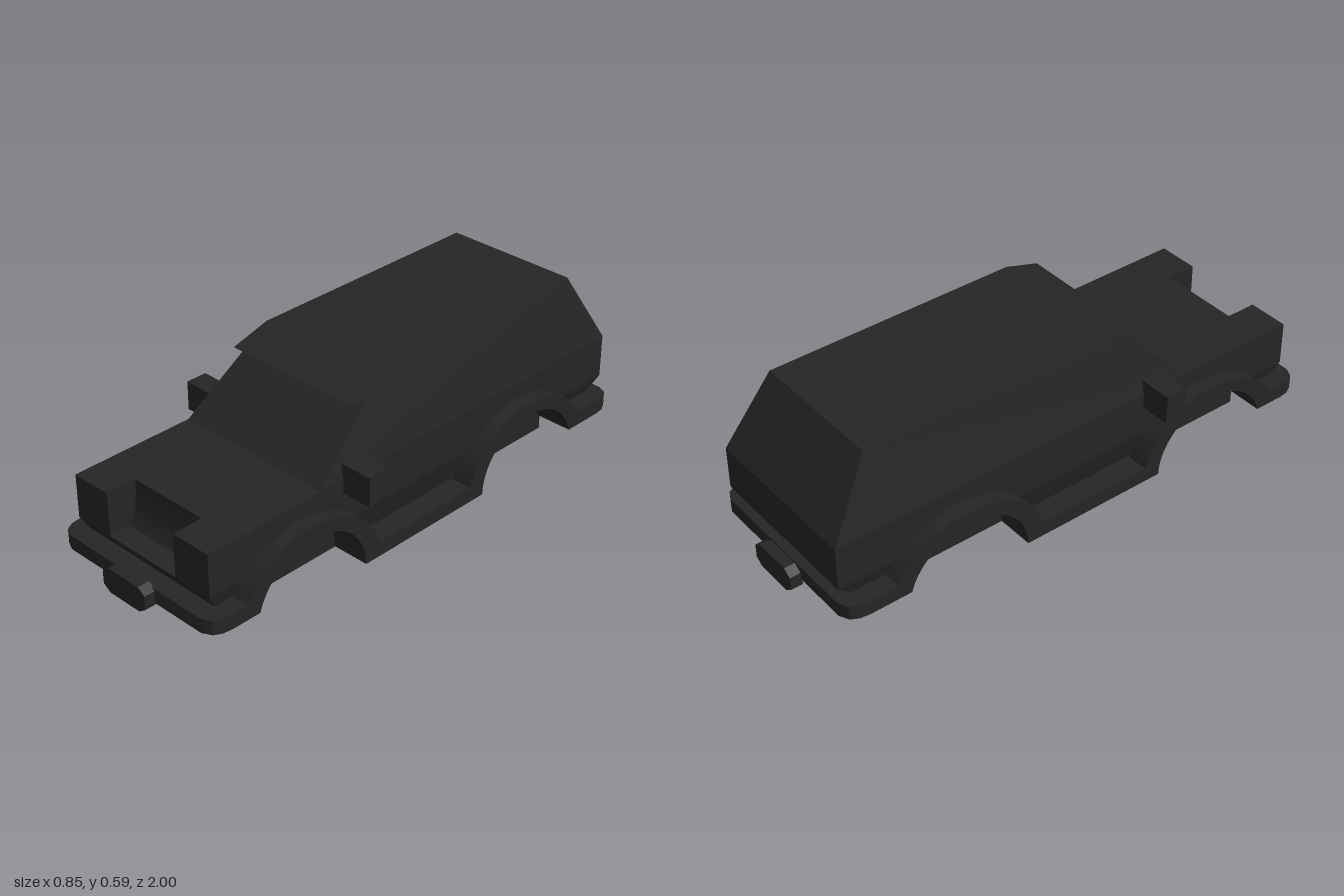
import * as THREE from 'three';
import { toCreasedNormals } from 'three/addons/utils/BufferGeometryUtils.js';

const FRONT = 0.54, REAR = -0.495;      // wheel arch centres along z
const INNER = [0.235, 0.215], OUTER = [0.305, 0.26];

export function createModel() {
  const car = new THREE.Group();
  car.name = 'carBody';
  const black = new THREE.MeshStandardMaterial({ color: 0x252525 });
  black.name = 'black';

  const add = (name, geo) => {
    const mesh = new THREE.Mesh(toCreasedNormals(geo, 0.5), black);
    mesh.name = name;
    car.add(mesh);
    return mesh;
  };

  // Arch points from height y0 to y1; side +1 is the front half, -1 the rear half
  const arc = (c, [rx, ry], y0, side0, y1, side1, n = 20) => {
    const angle = (y, s) => (s > 0 ? Math.asin(y / ry) : Math.PI - Math.asin(y / ry));
    const a = angle(y0, side0), b = angle(y1, side1);
    return Array.from({ length: n + 1 }, (_, i) => {
      const t = a + (b - a) * i / n;
      return [c + rx * Math.cos(t), ry * Math.sin(t)];
    });
  };

  const shape = pts => new THREE.Shape(pts.map(p => new THREE.Vector2(p[0], p[1])));

  // Side profile of [z, y] points, extruded across x
  const slab = (pts, x0, x1) => {
    const g = new THREE.ExtrudeGeometry(shape(pts), { depth: x1 - x0, bevelEnabled: false });
    return g.rotateY(-Math.PI / 2).translate(x1, 0, 0);
  };

  // Narrows a full width slab linearly with height
  const lean = (g, yA, xA, yB, xB) => {
    const p = g.attributes.position;
    for (let i = 0; i < p.count; i++) {
      const w = xA + (xB - xA) * (p.getY(i) - yA) / (yB - yA);
      p.setX(i, Math.sign(p.getX(i)) * w);
    }
    return g;
  };

  const box = (x0, x1, y0, y1, z0, z1) =>
    new THREE.BoxGeometry(x1 - x0, y1 - y0, z1 - z0)
      .translate((x0 + x1) / 2, (y0 + y1) / 2, (z0 + z1) / 2);

  // Cabin with sloped windscreen, visor lip and tailgate
  add('cabin', lean(slab([
    [0.45, 0.32], [0.20, 0.535], [0.28, 0.54], [0.14, 0.588], [-0.80, 0.588], [-0.955, 0.32],
  ], -0.31, 0.31), 0.32, 0.31, 0.588, 0.255));

  // Main body with wheel arch cutouts
  add('mainBody', slab([
    [0.805, 0.32], [0.805, 0.16],
    ...arc(FRONT, INNER, 0.16, 1, 0.16, -1),
    ...arc(REAR, INNER, 0.16, 1, 0.16, -1),
    [-0.955, 0.16], [-0.955, 0.32],
  ], -0.31, 0.31));

  // Tapered lower body in three pieces between the arches
  const lower = [
    [[0.92, 0.16], [0.89, 0.108], ...arc(FRONT, INNER, 0.108, 1, 0.16, 1, 4)],
    [...arc(FRONT, INNER, 0.16, -1, 0.05, -1, 4), ...arc(REAR, INNER, 0.05, 1, 0.16, 1, 4)],
    [...arc(REAR, INNER, 0.16, -1, 0.108, -1, 4), [-0.90, 0.108], [-0.955, 0.16]],
  ];
  ['lowerFront', 'lowerMiddle', 'lowerRear'].forEach((name, i) =>
    add(name, lean(slab(lower[i], -0.31, 0.31), 0.16, 0.31, 0.108, 0.295)));

  // Curved back wall of the nose recess
  add('noseRecess', slab([
    [0.80, 0.32], [0.806, 0.32], [0.808, 0.27], [0.814, 0.22], [0.824, 0.185], [0.84, 0.16], [0.80, 0.16],
  ], -0.155, 0.155));

  // Belly between the wheel wells
  add('belly', box(-0.225, 0.225, 0, 0.22, -0.73, 0.775));

  for (const s of [1, -1]) {
    const side = s > 0 ? 'left' : 'right';
    const span = (a, b) => (s > 0 ? [a, b] : [-b, -a]);

    // Headlamp block beside the recess
    add(side + 'HeadlampBlock', box(...span(0.155, 0.31), 0.16, 0.32, 0.80, 0.92));

    // Sill and flared wheel arches
    add(side + 'ArchTrim', slab([
      [0.88, 0.055], [0.88, 0.108],
      ...arc(FRONT, OUTER, 0.108, 1, 0.055, -1),
      ...arc(REAR, OUTER, 0.055, 1, 0.108, -1),
      [-0.88, 0.108], [-0.88, 0.055],
      ...arc(REAR, INNER, 0.055, -1, 0, 1),
      ...arc(FRONT, INNER, 0, -1, 0.055, 1),
    ], ...span(0.225, 0.365)));

    add(side + 'Mirror', box(...span(0.29, 0.424), 0.268, 0.375, 0.272, 0.352));
  }

  // Bumpers with rounded corners, and the plate holders on them
  const half = [[0.365, 0.88], [0.36, 0.915], [0.345, 0.943], [0.31, 0.96]];
  const bumper = [...half, ...half.map(([x, z]) => [-x, z]).reverse()];
  const plate = [[-0.1, 0.025], [-0.07, 0.046], [0.07, 0.046], [0.1, 0.025]];
  const octagon = [...plate, ...plate.map(([x, y]) => [-x, -y])].reverse();
  for (const s of [1, -1]) {
    const end = s > 0 ? 'front' : 'rear';
    const turn = g => (s > 0 ? g : g.rotateY(Math.PI));
    const bar = new THREE.ExtrudeGeometry(shape(bumper), { depth: 0.053, bevelEnabled: false });
    add(end + 'Bumper', turn(bar.rotateX(Math.PI / 2).translate(0, 0.108, 0)));
    add(end + 'BumperFloor', turn(box(-0.225, 0.225, 0.055, 0.108, 0.72, 0.885)));
    const holder = new THREE.ExtrudeGeometry(shape(octagon), { depth: 0.045, bevelEnabled: false });
    add(end + 'PlateHolder', turn(holder.translate(0, s > 0 ? 0.075 : 0.056, 0.955)));
  }
  return car;
}
